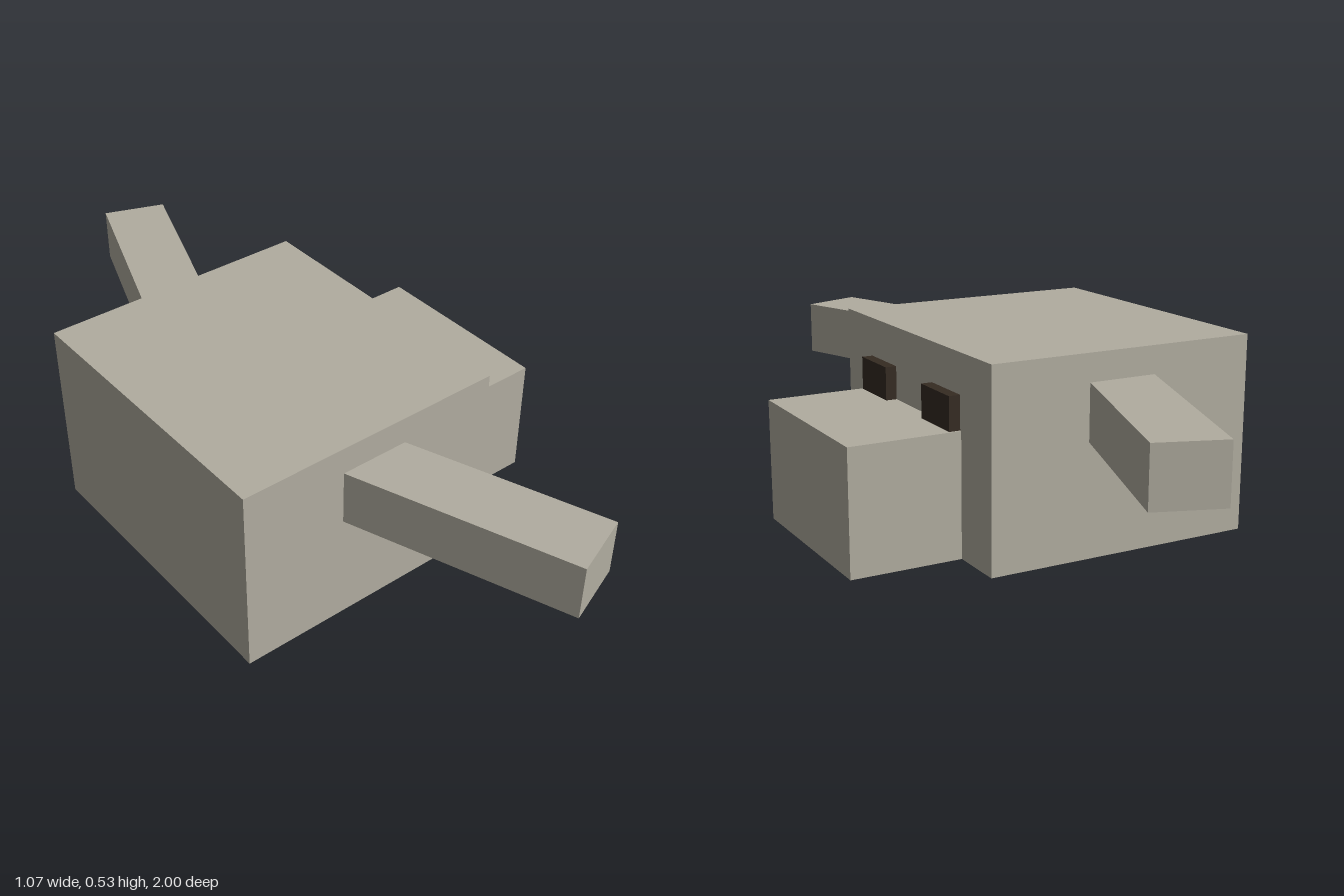
import * as THREE from 'three';

// Box given by its min and max corners, with the underside left open
function openBox(name, [x0, y0, z0], [x1, y1, z1], material) {
  const geometry = new THREE.BoxGeometry(x1 - x0, y1 - y0, z1 - z0);
  const index = Array.from(geometry.index.array);
  index.splice(18, 6); // drop the -y face
  geometry.setIndex(index);
  geometry.clearGroups();
  const mesh = new THREE.Mesh(geometry, material);
  mesh.name = name;
  mesh.position.set((x0 + x1) / 2, (y0 + y1) / 2, (z0 + z1) / 2);
  return mesh;
}

export function createModel() {
  const skin = new THREE.MeshStandardMaterial({ color: 0xb1ada0, side: THREE.DoubleSide });
  skin.name = 'stone grey';
  const dark = new THREE.MeshStandardMaterial({ color: 0x352b22, side: THREE.DoubleSide });
  dark.name = 'dark brown';

  const model = new THREE.Group();
  model.name = 'creature';

  // Body and the snout sunk into its +x side
  model.add(openBox('body', [-0.534, 0, -0.42], [0.226, 0.534, 0.42], skin));
  model.add(openBox('snout', [0.074, 0, -0.266], [0.532, 0.336, 0.266], skin));

  for (const side of [-1, 1]) {
    const label = side > 0 ? 'front' : 'back';

    // Eye resting on the snout
    const z = side * 0.184;
    model.add(openBox(label + 'Eye', [0.2, 0.33, z - 0.077], [0.257, 0.427, z + 0.077], dark));

    // Arm swept 20 degrees towards the snout, its root inside the body
    const arm = new THREE.Group();
    arm.name = label + 'Arm';
    arm.position.set(0.053, 0, side * 0.968);
    arm.rotation.y = side * THREE.MathUtils.degToRad(20);
    const near = side > 0 ? -0.76 : 0;
    arm.add(openBox(label + 'ArmBox', [-0.09, 0.307, near], [0.09, 0.459, near + 0.76], skin));
    model.add(arm);
  }
  return model;
}
